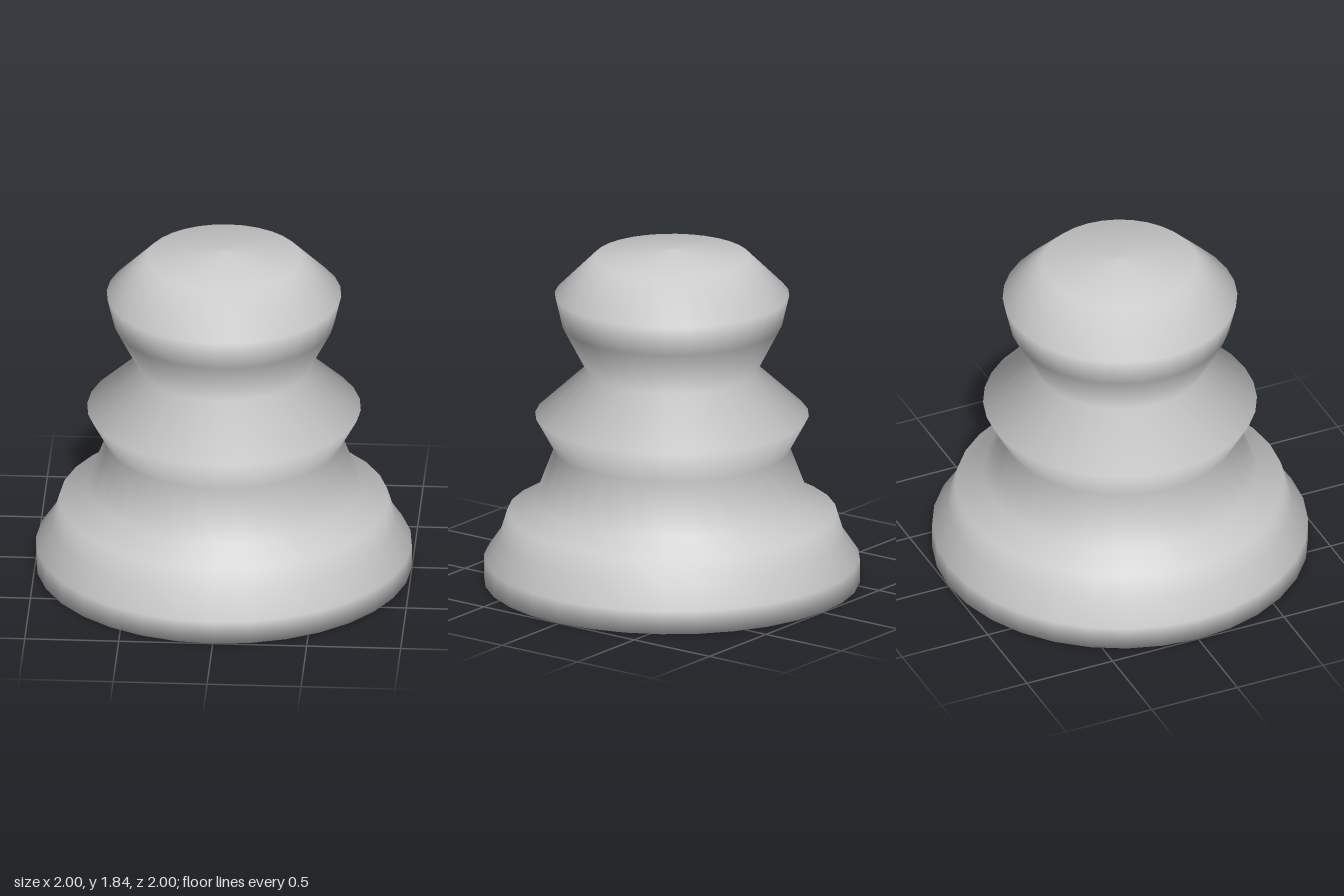
import * as THREE from 'three';

// Turned piece with a conical hollow: a closed profile swept around the y axis
export function createModel() {
  const group = new THREE.Group();
  group.name = 'turnedPiece';

  // Down the straight hollow from the tip, across the foot,
  // then up over the waist, collar, neck and head
  const profile = [
    [0, 1.83], [0.84, 0], [1, 0], [1, 0.125], [0.915, 0.25], [0.875, 0.38],
    [0.728, 0.46], [0.625, 0.73], [0.728, 0.918],
    [0.455, 1.17], [0.585, 1.42], [0.624, 1.585],
    [0.415, 1.793], [0, 1.835],
  ].map(([r, y]) => new THREE.Vector2(r, y));

  const body = new THREE.Mesh(
    new THREE.LatheGeometry(profile, 32),
    new THREE.MeshStandardMaterial({ color: 0xcccccc, side: THREE.DoubleSide }),
  );
  body.name = 'body';
  group.add(body);
  return group;
}
